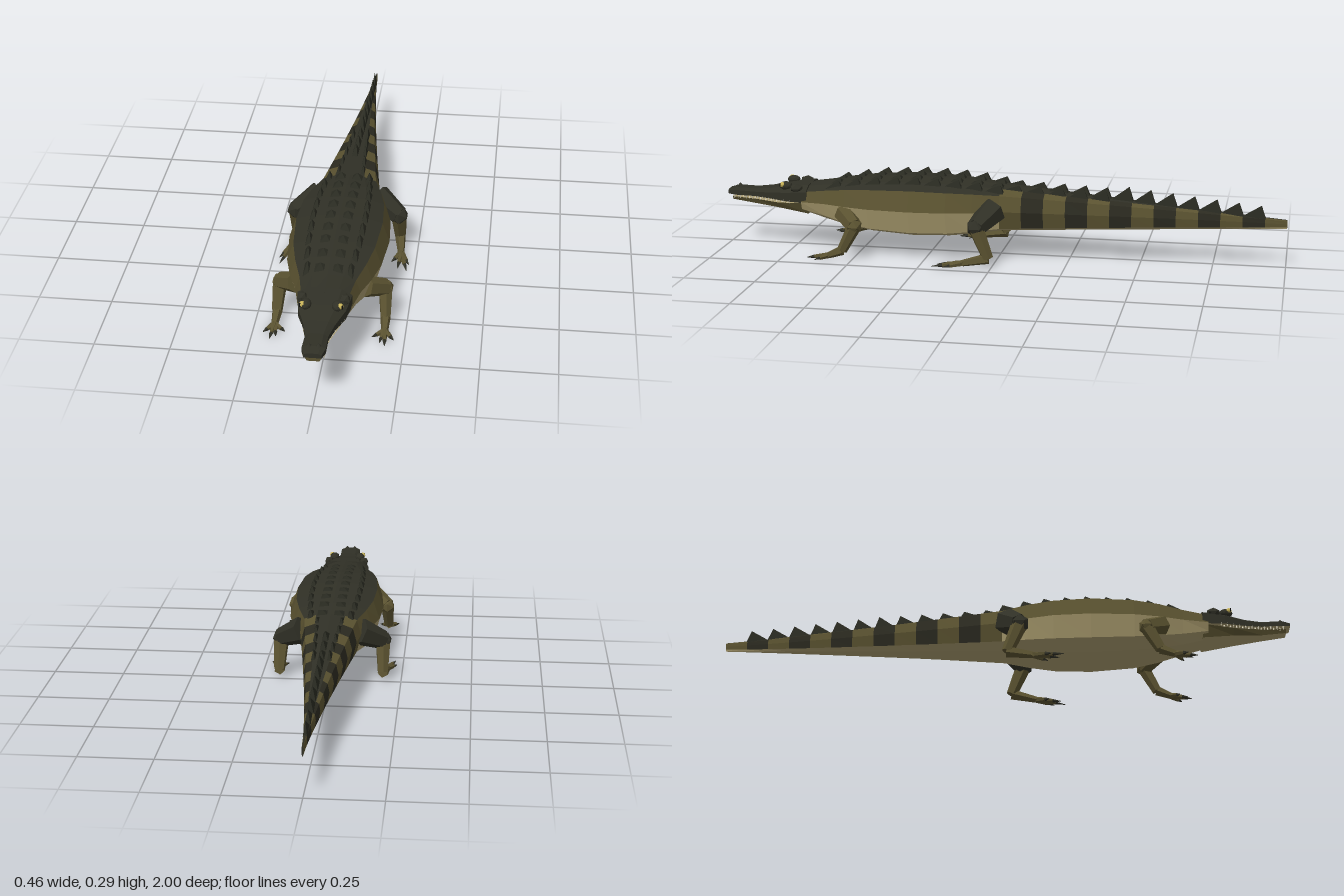
import * as THREE from 'three';

const mat = (name, color) => Object.assign(new THREE.MeshStandardMaterial({ color, flatShading: true }), { name });

export function createModel() {
  const model = new THREE.Group();
  model.name = 'crocodile';
  const M = {
    back: mat('dark back', 0x303026),
    flank: mat('olive flank', 0x5a5230),
    belly: mat('pale belly', 0xa99b6e),
    band: mat('tail band', 0x2b2a20),
    scute: mat('scute', 0x292a21),
    tooth: mat('tooth ivory', 0xe6dfc6),
    eye: mat('eye yellow', 0xc9b45a),
    pupil: mat('black', 0x0c0c0a),
  };
  const add = (geo, m, name, parent = model) => {
    const mesh = new THREE.Mesh(geo, m);
    mesh.name = name;
    parent.add(mesh);
    return mesh;
  };
  const fromPositions = (p) => {
    const g = new THREE.BufferGeometry();
    g.setAttribute('position', new THREE.Float32BufferAttribute(p, 3));
    g.computeVertexNormals();
    return g;
  };

  // Loft through mirrored half rings, ordered front to back; one mesh per colour
  const loft = (name, halves, colourOf, capColour) => {
    const rings = halves.map((h) => [...h, ...h.slice(1, -1).reverse().map(([x, y, z]) => [-x, y, z])]);
    const n = rings[0].length, half = halves[0].length - 1, parts = {};
    const tri = (c, ...pts) => (parts[c] ??= []).push(...pts.flat());
    for (let j = 0; j < rings.length - 1; j++) {
      for (let i = 0; i < n; i++) {
        const k = (i + 1) % n, c = colourOf(i < half ? i : n - 1 - i, j);
        tri(c, rings[j][i], rings[j][k], rings[j + 1][k]);
        tri(c, rings[j][i], rings[j + 1][k], rings[j + 1][i]);
      }
    }
    const first = rings[0], last = rings[rings.length - 1];
    for (let i = 1; i < n - 1; i++) {
      tri(capColour, first[0], first[i + 1], first[i]);
      tri(capColour, last[0], last[i], last[i + 1]);
    }
    for (const c in parts) add(fromPositions(parts[c]), M[c], `${name} ${c}`);
  };

  // Body and tail sections: z, half width, top, shoulder, middle, low, bottom
  const sections = [
    [0.71, 0.086, 0.232, 0.212, 0.178, 0.15, 0.135],
    [0.62, 0.106, 0.243, 0.225, 0.18, 0.133, 0.112],
    [0.54, 0.135, 0.255, 0.237, 0.18, 0.117, 0.095],
    [0.45, 0.157, 0.266, 0.245, 0.18, 0.106, 0.083],
    [0.3, 0.17, 0.273, 0.25, 0.18, 0.1, 0.075],
    [0.17, 0.162, 0.27, 0.247, 0.18, 0.102, 0.079],
    [0.08, 0.14, 0.264, 0.242, 0.18, 0.108, 0.088],
    [-0.01, 0.108, 0.254, 0.234, 0.18, 0.116, 0.1],
  ];
  const BODY = sections.length - 1, BANDS = 13, STEP = 0.99 / BANDS;
  for (let i = 1; i <= BANDS; i++) {
    const t = i / BANDS, mix = (a, b) => a + (b - a) * t;
    sections.push([-0.01 - STEP * i, 0.105 * (1 - t) ** 1.3 + 0.003, mix(0.254, 0.172),
      mix(0.234, 0.167), mix(0.18, 0.157), mix(0.116, 0.146), mix(0.1, 0.14)]);
  }
  const half = ([z, w, top, sh, mid, low, bot]) => [[0, top, z], [0.48 * w, top - (top - sh) * 0.25, z],
    [0.86 * w, sh, z], [w, mid, z], [0.86 * w, low, z], [0.45 * w, bot, z], [0, bot, z]];
  loft('body', sections.map(half), (i, j) => {
    if (j < BODY) return i < 2 ? 'back' : i < 3 ? 'flank' : 'belly';
    if (i < 1) return 'back';
    if (i > 3) return 'belly';
    return (j - BODY) % 2 ? 'band' : 'flank';
  }, 'back');

  // Height of the back at a point
  const sectionAt = (z) => {
    let j = 0;
    while (j < sections.length - 2 && sections[j + 1][0] > z) j++;
    const a = sections[j], b = sections[j + 1], t = (z - a[0]) / (b[0] - a[0]);
    return a.map((v, k) => v + (b[k] - v) * t);
  };
  const backY = (x, z) => {
    const h = half(sectionAt(z)), i = Math.abs(x) < h[1][0] ? 0 : 1;
    const t = (Math.abs(x) - h[i][0]) / (h[i + 1][0] - h[i][0]);
    return h[i][1] + (h[i + 1][1] - h[i][1]) * t;
  };

  // Keeled scale: pyramid with its peak swept to the rear
  const keel = (name, x, z, w, len, h, parent) => {
    const y = backY(x, z), yF = backY(x, z + len / 2) - 0.006, yB = backY(x, z - len / 2) - 0.006;
    const a = [x - w, yF, z + len / 2], b = [x + w, yF, z + len / 2];
    const c = [x + w, yB, z - len / 2], d = [x - w, yB, z - len / 2], p = [x, y + h, z - len * 0.3];
    add(fromPositions([a, b, p, b, c, p, c, d, p, d, a, p].flat()), M.scute, name, parent);
  };
  const armour = new THREE.Group();
  armour.name = 'back armour';
  model.add(armour);
  for (let i = 0; i < 9; i++) {
    const z = 0.01 + i * 0.073, s = sectionAt(z)[1] / 0.17;
    for (const side of [-1, 1]) {
      keel('outer scute', side * (0.035 + 0.052 * s), z, 0.012, 0.066, 0.022, armour);
      keel('inner scute', side * 0.028, z, 0.024, 0.055, 0.013, armour);
    }
  }
  // Paired crests near the hips merge into a single tail crest
  for (let i = 0; i < 12; i++) {
    const z = -0.05 - i * STEP, w = sectionAt(z)[1];
    if (i < 5) for (const side of [-1, 1]) keel('paired crest', side * w * 0.42, z, 0.008, 0.07, 0.016 + i * 0.004, armour);
    if (i > 1) keel('tail crest', 0, z, Math.min(0.012, w * 0.5 + 0.002), 0.078, i < 5 ? 0.028 : 0.046 - (i - 5) * 0.0015, armour);
  }

  // Upper jaw and skull: z, half width, top, brow, lip
  const skull = [
    [1.0, 0.028, 0.2, 0.195, 0.184], [0.97, 0.037, 0.207, 0.2, 0.182], [0.9, 0.036, 0.205, 0.196, 0.18],
    [0.84, 0.05, 0.211, 0.199, 0.178], [0.77, 0.076, 0.225, 0.207, 0.176], [0.69, 0.088, 0.234, 0.215, 0.174],
  ];
  loft('upper jaw', skull.map(([z, w, top, brow, lip]) =>
    [[0, top, z], [0.6 * w, top, z], [w, brow, z], [w, lip, z], [0, lip, z]]),
  (i) => (i === 3 ? 'belly' : 'back'), 'back');

  // Lower jaw: z, half width, top, bottom
  const jaw = [[0.985, 0.026, 0.174, 0.162], [0.9, 0.034, 0.17, 0.152], [0.8, 0.06, 0.166, 0.144], [0.69, 0.083, 0.174, 0.131]];
  loft('lower jaw', jaw.map(([z, w, top, bot]) => [[0, top, z], [w, top, z], [0.75 * w, bot, z], [0, bot, z]]),
    (i) => (i === 1 ? 'flank' : 'belly'), 'flank');

  // Tapered limb piece between two points
  const limb = (name, a, b, ra, rb, m, parent, sides = 6) => {
    const A = new THREE.Vector3(...a), B = new THREE.Vector3(...b), dir = B.clone().sub(A);
    const mesh = add(new THREE.CylinderGeometry(rb, ra, dir.length(), sides), m, name, parent);
    mesh.position.copy(A).add(B).multiplyScalar(0.5);
    mesh.quaternion.setFromUnitVectors(new THREE.Vector3(0, 1, 0), dir.normalize());
  };
  const leg = (name, s, { hip, knee, ankle, ball, toes, r, upper }) => {
    const g = new THREE.Group();
    g.name = name;
    model.add(g);
    const P = ([x, y, z]) => [s * x, y, z];
    limb('upper leg', P(hip), P(knee), r[0], r[1], upper, g);
    add(new THREE.IcosahedronGeometry(r[1], 0), upper, 'knee', g).position.set(...P(knee));
    limb('lower leg', P(knee), P(ankle), r[1] * 0.85, r[2], M.flank, g);
    limb('foot', P(ankle), P(ball), r[2], 0.012, M.flank, g, 5);
    for (const [x, z] of toes) {
      const tip = [x, 0.006, z], mid = tip.map((v, k) => ball[k] + (v - ball[k]) * 0.65);
      limb('toe', P(ball), P(mid), 0.011, 0.007, M.flank, g, 5);
      limb('claw', P(mid), P(tip), 0.007, 0.001, M.back, g, 4);
    }
  };

  for (const s of [-1, 1]) {
    const side = s > 0 ? 'left' : 'right';
    leg(`${side} front leg`, s, {
      hip: [0.115, 0.155, 0.545], knee: [0.175, 0.122, 0.49], ankle: [0.18, 0.035, 0.535], ball: [0.182, 0.015, 0.585],
      toes: [[0.143, 0.615], [0.17, 0.645], [0.188, 0.66], [0.215, 0.625]], r: [0.036, 0.029, 0.018], upper: M.flank,
    });
    leg(`${side} hind leg`, s, {
      hip: [0.1, 0.185, 0.01], knee: [0.182, 0.14, 0.055], ankle: [0.185, 0.033, 0.012], ball: [0.195, 0.015, 0.1],
      toes: [[0.165, 0.15], [0.19, 0.19], [0.222, 0.205], [0.228, 0.165]], r: [0.05, 0.034, 0.02], upper: M.back,
    });

    // Eye with raised brow, yellow iris and slit pupil
    const socket = add(new THREE.IcosahedronGeometry(0.02, 1), M.back, `${side} eye socket`);
    socket.position.set(s * 0.05, 0.228, 0.775);
    socket.scale.set(0.9, 0.8, 1.2);
    add(new THREE.IcosahedronGeometry(0.01, 1), M.eye, `${side} eye`).position.set(s * 0.06, 0.233, 0.785);
    add(new THREE.BoxGeometry(0.004, 0.012, 0.004), M.pupil, `${side} pupil`).position.set(s * 0.067, 0.233, 0.791);
    const bump = add(new THREE.IcosahedronGeometry(0.018, 0), M.back, `${side} skull bump`);
    bump.position.set(s * 0.068, 0.223, 0.73);
    bump.scale.z = 1.4;

    // Nostril
    add(new THREE.ConeGeometry(0.011, 0.012, 6), M.back, `${side} nostril`).position.set(s * 0.015, 0.21, 0.968);

    // Teeth: upper row points down, lower row points up
    const edge = (rows, z) => {
      const j = rows.findIndex((r, k) => k < rows.length - 1 && rows[k + 1][0] <= z);
      return rows[j][1] + (rows[j + 1][1] - rows[j][1]) * (rows[j][0] - z) / (rows[j][0] - rows[j + 1][0]);
    };
    for (let i = 0; i < 11; i++) {
      const z = 0.975 - i * 0.022;
      const up = add(new THREE.ConeGeometry(0.004, 0.014, 4), M.tooth, `${side} upper tooth`);
      up.position.set(s * (edge(skull, z) - 0.003), 0.174, z);
      up.rotation.x = Math.PI;
      if (i < 10) add(new THREE.ConeGeometry(0.0035, 0.013, 4), M.tooth, `${side} lower tooth`)
        .position.set(s * (edge(jaw, z - 0.011) - 0.003), 0.176, z - 0.011);
    }
  }
  return model;
}
